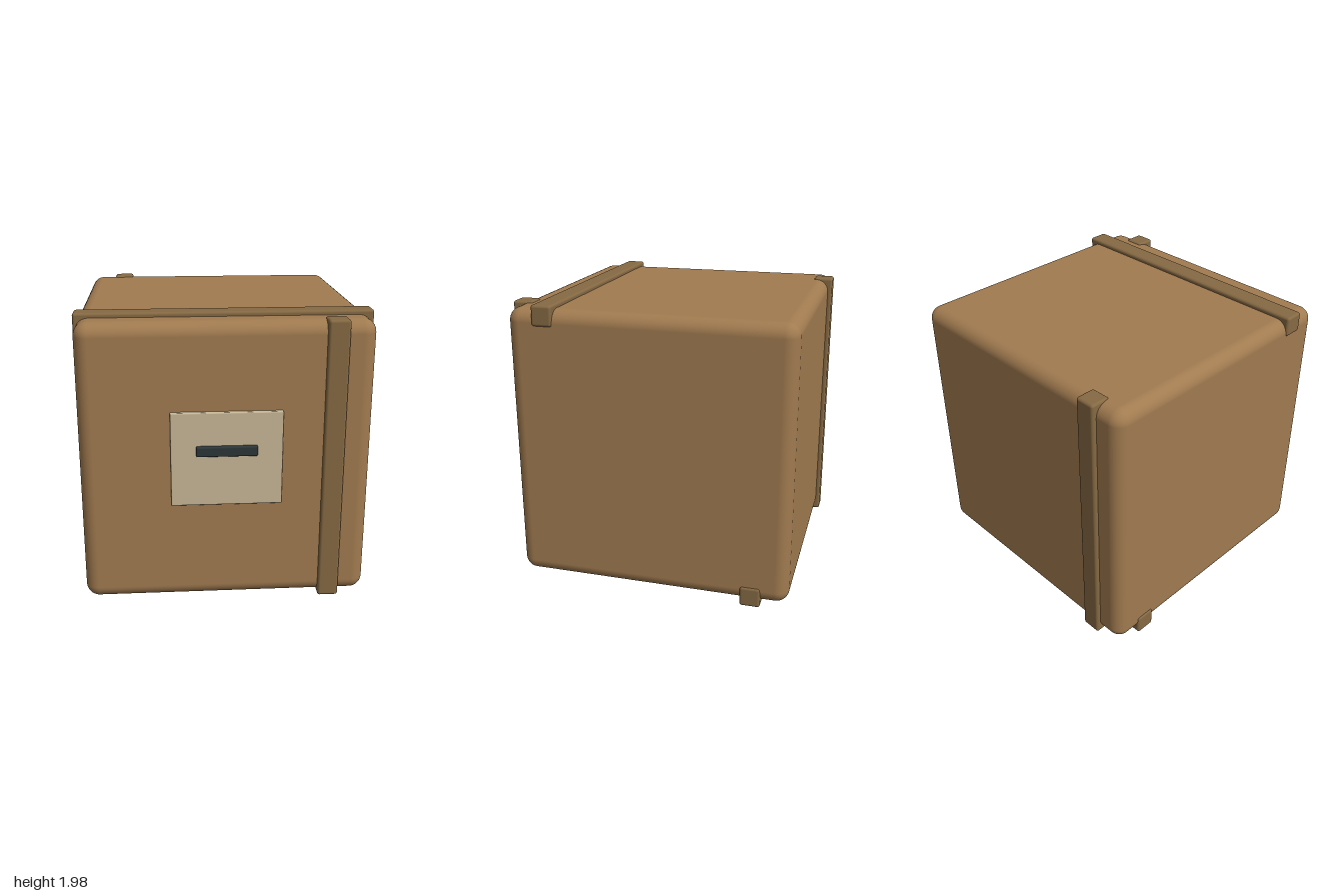
import * as THREE from 'three';
import { RoundedBoxGeometry } from 'three/addons/geometries/RoundedBoxGeometry.js';

export function createModel() {
  const model = new THREE.Group();
  model.name = 'crate';

  const cardboard = new THREE.MeshStandardMaterial({ color: 0xa17b50 });
  const strap = new THREE.MeshStandardMaterial({ color: 0x856943 });
  const paper = new THREE.MeshStandardMaterial({ color: 0xc8b898 });
  const ink = new THREE.MeshStandardMaterial({ color: 0x2d3638 });

  const CY = 0.988, CZ = -0.012; // centre of the box
  const SIZE = 1.915, LENGTH = 1.936, BAND = 0.14;
  const REACH = 0.988 - BAND / 2; // strap centre, from the box centre
  const OFFSET = 0.703;           // strap distance off the middle of its face

  function add(name, material, size, position, radius, segments = 3) {
    const mesh = new THREE.Mesh(new RoundedBoxGeometry(...size, segments, radius), material);
    mesh.name = name;
    mesh.position.set(...position);
    model.add(mesh);
  }

  // Rounded body
  add('body', cardboard, [SIZE, SIZE, SIZE], [0, CY, CZ], 0.09, 6);

  // Straps: front and back upright, top and bottom across
  for (const [name, s] of [['front', 1], ['back', -1]]) {
    add(name + 'Strap', strap, [BAND, LENGTH, BAND],
      [s * OFFSET, CY, CZ + s * REACH], 0.018);
  }
  for (const [name, s] of [['top', 1], ['bottom', -1]]) {
    add(name + 'Strap', strap, [LENGTH, BAND, BAND],
      [0, CY + s * REACH, CZ + s * OFFSET], 0.018);
  }

  // Label with a dark bar on the front
  add('label', paper, [0.73, 0.64, 0.05], [0, 1.049, 0.948], 0.008);
  add('labelBar', ink, [0.4, 0.068, 0.05], [0, 1.111, 0.975], 0.01);

  return model;
}
